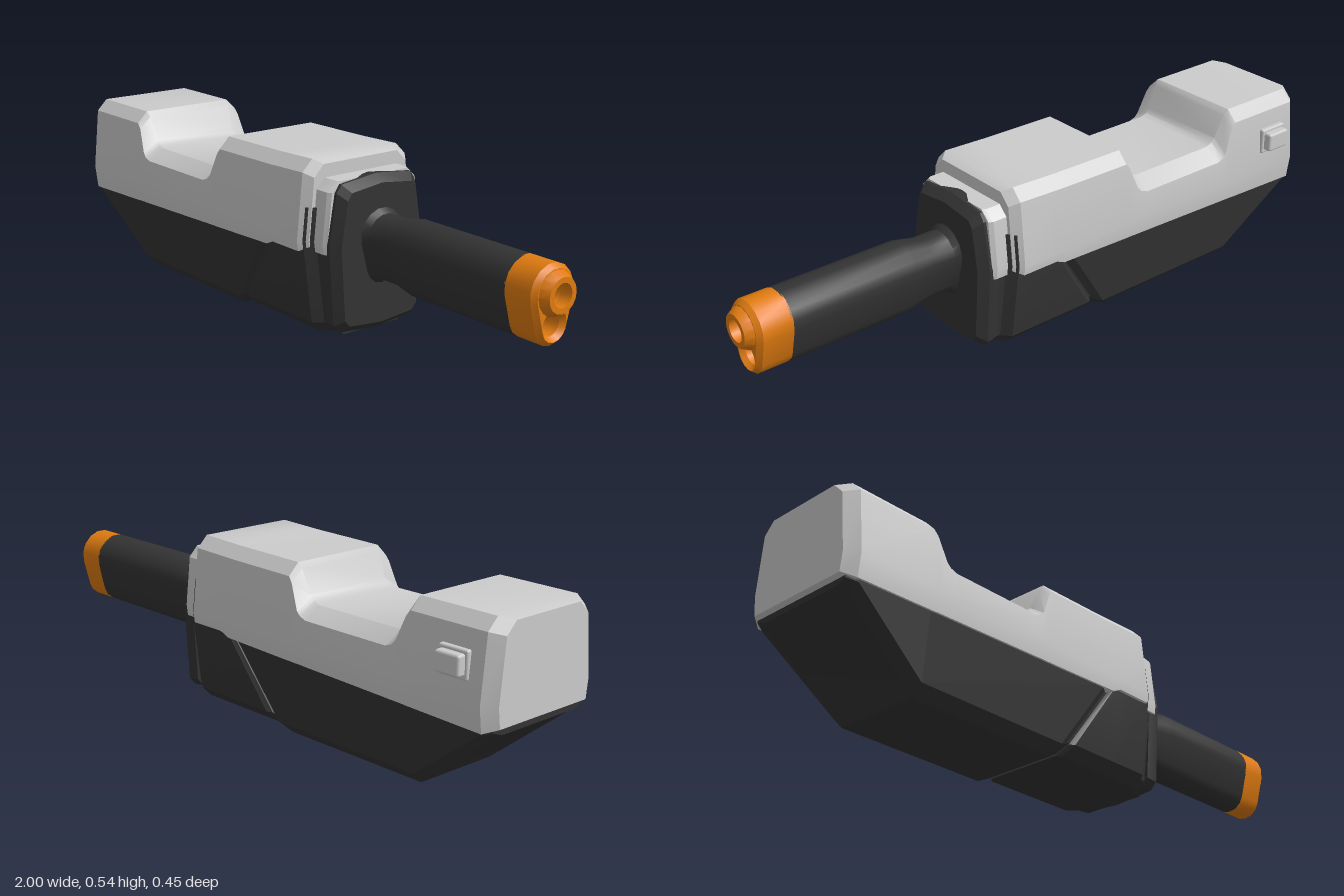
import * as THREE from 'three';
import { toCreasedNormals } from 'three/addons/utils/BufferGeometryUtils.js';
import { RoundedBoxGeometry } from 'three/addons/geometries/RoundedBoxGeometry.js';

const grey = new THREE.MeshStandardMaterial({ color: 0xcccccc });
const dark = new THREE.MeshStandardMaterial({ color: 0x333333 });
const orange = new THREE.MeshStandardMaterial({ color: 0xe07b10 });

// Joins equal-length rings (ordered clockwise seen from +x) and caps both ends.
function loft(rings, crease = 0.5) {
  const pos = [];
  const tri = (a, b, c) => {
    const n = b.clone().sub(a).cross(c.clone().sub(a));
    if (n.length() > 1e-8) for (const p of [a, b, c]) pos.push(p.x, p.y, p.z);
  };
  const count = rings[0].length;
  const centre = (r) => r.reduce((s, p) => s.add(p), new THREE.Vector3()).divideScalar(count);
  const last = rings[rings.length - 1];
  const c0 = centre(rings[0]), c1 = centre(last);
  for (let j = 0; j < count; j++) {
    const k = (j + 1) % count;
    for (let i = 0; i + 1 < rings.length; i++) {
      const a = rings[i], b = rings[i + 1];
      tri(a[j], b[j], b[k]);
      tri(a[j], b[k], a[k]);
    }
    tri(c0, rings[0][j], rings[0][k]);
    tri(c1, last[k], last[j]);
  }
  const g = new THREE.BufferGeometry();
  g.setAttribute('position', new THREE.Float32BufferAttribute(pos, 3));
  return toCreasedNormals(g, crease);
}

// Half-width of the housing: widest at y = 0.30, tapering up and down.
const halfWidth = (y) => (y < 0.3 ? 0.214 - (0.3 - y) * 0.126 : 0.214 - (y - 0.3) * 0.105);

// Housing cross-section; bottom and top may sit at different x for slanted ends.
function section({ xb, yb, xt = xb, yt, inset = 0, cb = 0, ct = 0, cw = ct }) {
  const b = Math.min(cb, (yt - yb) / 2);
  const lo = yb + b, hi = yt - ct;
  const mid = Math.min(Math.max(0.3, lo), hi);
  const half = [
    [yb, halfWidth(lo) - cb], [lo, halfWidth(lo)], [mid, halfWidth(mid)],
    [hi, halfWidth(hi)], [yt, halfWidth(hi) - cw],
  ];
  const point = ([y, w], s) =>
    new THREE.Vector3(xb + ((xt - xb) * (y - yb)) / (yt - yb), y, s * (w - inset));
  return [...half.map((p) => point(p, 1)), ...half.reverse().map((p) => point(p, -1))];
}

// Teardrop outline around the two bores, as [z, y] pairs.
function teardrop() {
  const out = [], lean = 0.233;
  const arc = (cy, r, from, to, n) => {
    for (let i = 0; i <= n; i++) {
      const t = from + ((to - from) * i) / n;
      out.push([r * Math.cos(t), cy + r * Math.sin(t)]);
    }
  };
  arc(0.313, 0.079, -lean, Math.PI + lean, 9);
  arc(0.222, 0.056, Math.PI + lean, 2 * Math.PI - lean, 6);
  return out;
}

export function createModel() {
  const model = new THREE.Group();
  const add = (name, geometry, material) => {
    const m = new THREE.Mesh(geometry, material);
    m.name = name;
    m.position.z = 0.0125;
    model.add(m);
    return m;
  };

  // Upper shell with the saddle notch: x, bottom, top, inset, chamfer width
  add('upperShell', loft([
    [-1, 0.24, 0.518, 0.032, 0.035],
    [-0.965, 0.226, 0.527, 0, 0.035],
    [-0.705, 0.234, 0.527, 0, 0.035],
    [-0.69, 0.235, 0.51, 0, 0.04],
    [-0.66, 0.236, 0.437, 0, 0.055],
    [-0.648, 0.236, 0.424, 0, 0.055],
    [-0.625, 0.237, 0.416, 0, 0.055],
    [-0.315, 0.246, 0.416, 0, 0.055],
    [-0.292, 0.247, 0.424, 0, 0.055],
    [-0.278, 0.247, 0.437, 0, 0.055],
    [-0.248, 0.248, 0.51, 0, 0.04],
    [-0.235, 0.248, 0.527, 0, 0.035],
    [0.02, 0.256, 0.53, 0, 0.035],
    [0.05, 0.27, 0.531, 0, 0.035],
    [0.175, 0.27, 0.535, 0, 0.035],
    [0.203, 0.285, 0.522, 0.022, 0.035],
  ].map(([xb, yb, yt, inset, cw]) => section({ xb, yb, yt, inset, ct: 0.035, cw }))), grey);

  // Rear lower body with its slanted tail and slanted front edge
  const tray = { inset: 0.006, cb: 0.034 };
  add('rearLowerBody', loft([
    { ...tray, xb: -0.985, yb: 0.215, yt: 0.24, inset: 0.025 },
    { ...tray, xb: -0.955, yb: 0.198, yt: 0.24 },
    { ...tray, xb: -0.71, yb: 0, yt: 0.245 },
    { ...tray, xb: -0.195, yb: 0, xt: -0.015, yt: 0.265 },
    { ...tray, xb: -0.165, yb: 0.012, xt: 0.008, yt: 0.265, inset: 0.018 },
  ].map(section)), dark);

  // Recessed core seen in the diagonal seam
  add('seamCore', loft([
    { xb: -0.3, yb: 0.025, xt: -0.1, yt: 0.26, inset: 0.025, cb: 0.03 },
    { xb: 0.1, yb: 0.025, yt: 0.3, inset: 0.025, cb: 0.03 },
  ].map(section)), dark);

  // Front lower body
  const nose = { yb: 0.015, cb: 0.034 };
  add('frontLowerBody', loft([
    { ...nose, xb: -0.152, xt: 0.026, yt: 0.275, inset: 0.02 },
    { ...nose, xb: -0.135, xt: 0.043, yt: 0.285, inset: 0.01 },
    { ...nose, xb: 0.06, xt: 0.08, yt: 0.4, inset: 0.01 },
    { ...nose, xb: 0.19, yt: 0.4, inset: 0.01 },
    { ...nose, xb: 0.215, yt: 0.4, inset: 0.038 },
    { ...nose, xb: 0.255, yt: 0.4, inset: 0.045 },
  ].map(section)), dark);

  // Grey collar between shell and front plate
  add('greyCollar', loft([
    { xb: 0.16, inset: 0.034 }, { xb: 0.25, inset: 0.034 }, { xb: 0.263, inset: 0.042 },
  ].map((s) => section({ ...s, yb: 0.27, yt: 0.482, ct: 0.03 }))), grey);

  // Dark front plate with a shallow peaked top
  const plate = [[0, 0.02], [0.137, 0.032], [0.157, 0.055], [0.173, 0.3],
    [0.147, 0.45], [0.13, 0.474], [0, 0.489]];
  const plateOutline = [...plate, ...plate.slice(1, -1).reverse().map(([z, y]) => [-z, y])];
  const plateRing = (x, sz, sy) => plateOutline.map(([z, y]) =>
    new THREE.Vector3(x, 0.255 + (y - 0.255) * sy, z * sz));
  add('frontPlate', loft([
    plateRing(0.235, 0.98, 0.98), plateRing(0.26, 1, 1),
    plateRing(0.272, 1, 1), plateRing(0.3, 0.87, 0.9),
  ], 0.2), dark);

  // Barrel sleeve: flared root, neck and wider grip
  const outline = teardrop();
  const barrelRing = ([x, s]) => outline.map(([z, y]) =>
    new THREE.Vector3(x, 0.28 + (y - 0.28) * s, z * s));
  add('barrel', loft(
    [[0.28, 1.15], [0.3, 1], [0.318, 0.87], [0.39, 0.87], [0.46, 1], [0.87, 1]].map(barrelRing),
    0.6), dark);

  // Orange muzzle with two bores
  const shape = new THREE.Shape(outline.map(([z, y]) => new THREE.Vector2(z, y)));
  for (const y of [0.313, 0.225]) {
    shape.holes.push(new THREE.Path().absarc(0, y, 0.033, 0, Math.PI * 2, true));
  }
  const muzzle = new THREE.ExtrudeGeometry(shape, {
    depth: 0.095, curveSegments: 8, bevelThickness: 0.015,
    bevelSize: 0.012, bevelOffset: -0.012, bevelSegments: 1,
  });
  muzzle.rotateY(Math.PI / 2).translate(0.865, 0, 0);
  add('muzzle', toCreasedNormals(muzzle, 0.6), orange);

  // Conical nozzle around the upper bore
  const nozzle = new THREE.LatheGeometry(
    [[0.066, 0.955], [0.064, 0.975], [0.05, 1], [0.034, 1], [0.033, 0.94]]
      .map(([r, x]) => new THREE.Vector2(r, x)), 16);
  nozzle.rotateZ(-Math.PI / 2).translate(0, 0.313, 0);
  add('nozzle', toCreasedNormals(nozzle, 0.5), orange);

  // Push button on the right side
  const base = add('buttonBase', new RoundedBoxGeometry(0.1, 0.082, 0.04, 2, 0.006), grey);
  base.position.set(-0.87, 0.396, -0.182);
  const button = add('button', new RoundedBoxGeometry(0.084, 0.06, 0.05, 2, 0.008), grey);
  button.position.set(-0.87, 0.397, -0.202);

  return model;
}
